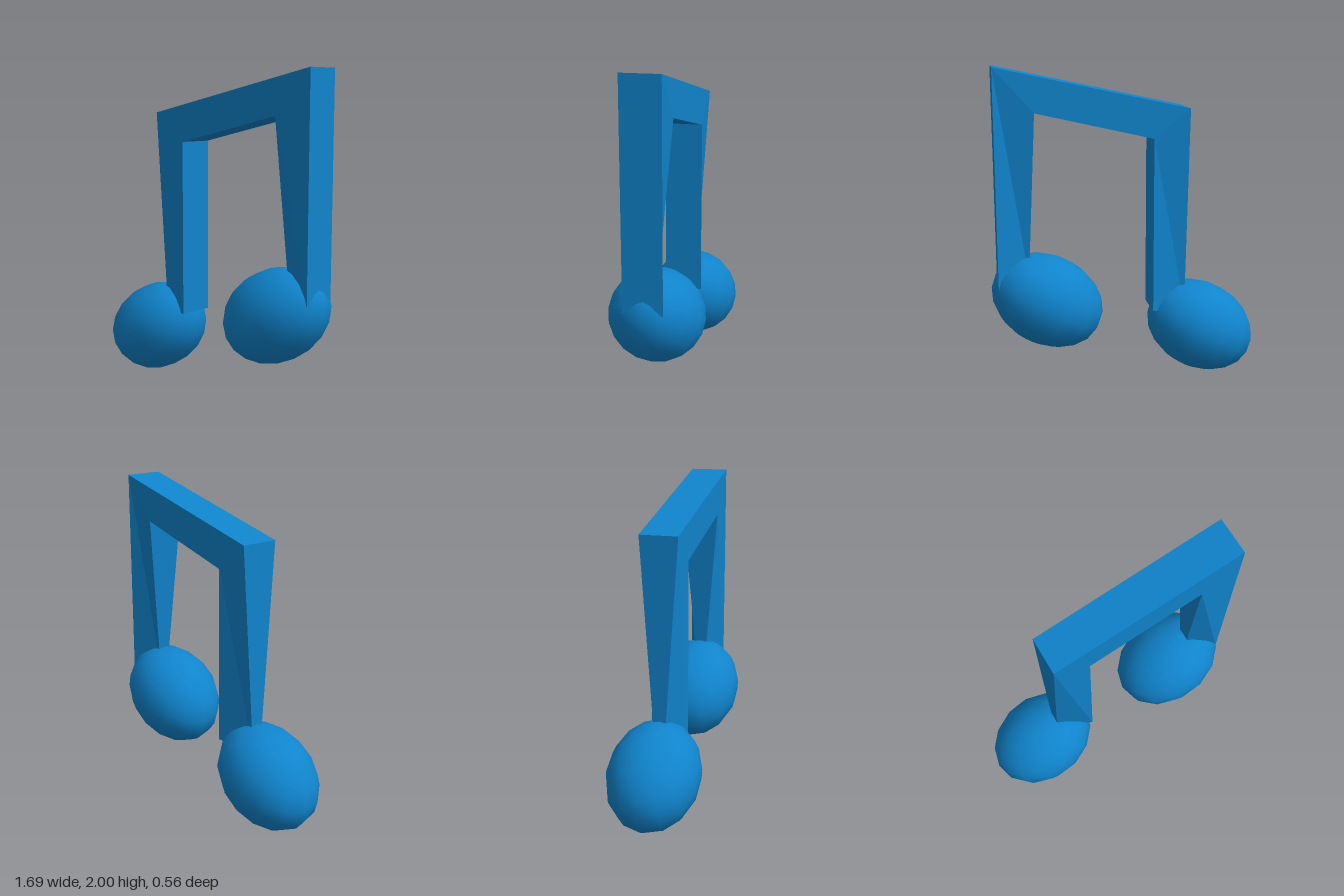
import * as THREE from 'three';

const blue = new THREE.MeshStandardMaterial({ color: 0x1084cc });
blue.name = 'blue';

// Tilted egg-shaped note head, smooth shaded
function noteHead(name, x, y) {
  const head = new THREE.Mesh(new THREE.SphereGeometry(1, 14, 10), blue);
  head.name = name;
  head.scale.set(0.371, 0.28, 0.287);
  head.rotation.z = Math.PI / 6;
  head.position.set(x, y, 0);
  return head;
}

// Both stems and the beam: one four-sided band swept through four sections.
// Section: [outer x, outer y, outer half depth, inner x, inner y, inner half depth]
function frameGeometry() {
  const sections = [
    [-0.385, 0.45, 0.03, -0.16, 0.46, 0.118],
    [-0.385, 1.74, 0.118, -0.16, 1.56, 0.118],
    [0.805, 2.0, 0.118, 0.565, 1.73, 0.118],
    [0.805, 0.66, 0.118, 0.612, 0.70, 0.03],
  ];
  const corners = [];
  for (const [ox, oy, od, ix, iy, id] of sections) {
    corners.push(ox, oy, od, ox, oy, -od, ix, iy, -id, ix, iy, id);
  }
  const index = [];
  const quad = (a, b, c, d) => index.push(a, b, c, a, c, d);
  for (let s = 0; s < 3; s++) {
    for (let j = 0; j < 4; j++) {
      const a = s * 4 + j;
      const b = s * 4 + ((j + 1) % 4);
      quad(a, a + 4, b + 4, b);
    }
  }
  quad(0, 1, 2, 3);
  quad(15, 14, 13, 12);

  const indexed = new THREE.BufferGeometry();
  indexed.setAttribute('position', new THREE.Float32BufferAttribute(corners, 3));
  indexed.setIndex(index);
  const geometry = indexed.toNonIndexed();
  geometry.computeVertexNormals(); // unshared corners keep the edges sharp
  return geometry;
}

export function createModel() {
  const model = new THREE.Group();
  model.name = 'musicNote';
  const frame = new THREE.Mesh(frameGeometry(), blue);
  frame.name = 'stemsAndBeam';
  model.add(
    frame,
    noteHead('rightNoteHead', -0.497, 0.31),
    noteHead('leftNoteHead', 0.495, 0.54),
  );
  return model;
}
